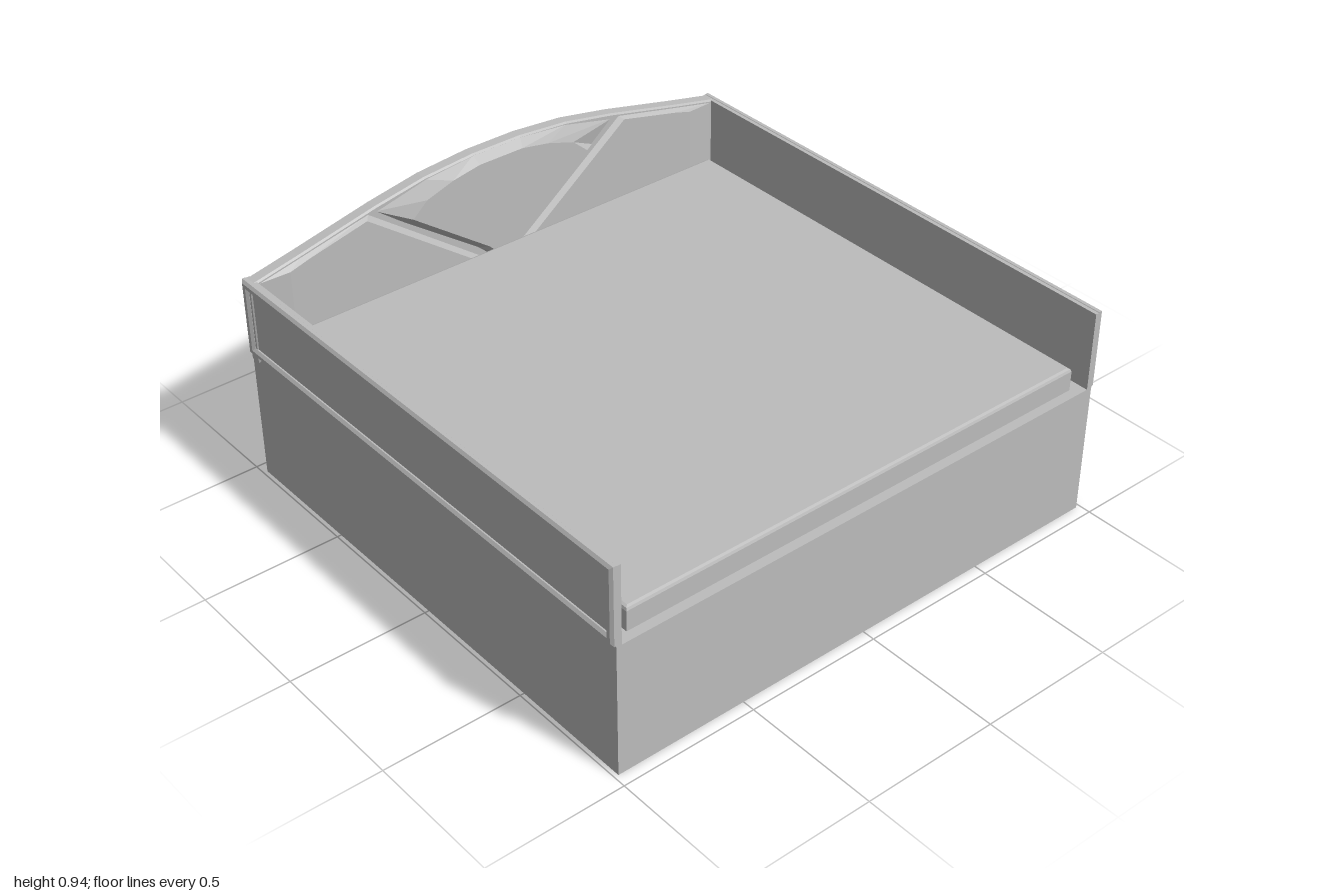
import * as THREE from 'three';

const grey = new THREE.MeshStandardMaterial({ color: 0xbcbcbc });
grey.name = 'plain grey';

function add(group, name, geometry, x = 0, y = 0, z = 0) {
  const mesh = new THREE.Mesh(geometry, grey);
  mesh.name = name;
  mesh.position.set(x, y, z);
  group.add(mesh);
  return mesh;
}

function rectangle(Type, x0, x1, y0, y1) {
  return new Type([[x0, y0], [x1, y0], [x1, y1], [x0, y1]].map(p => new THREE.Vector2(...p)));
}

// Raised pad facing +x, lofted between two rings of [z, y] points
function pad(outer, inner, x0, x1) {
  const area = THREE.ShapeUtils.area(outer.map(p => new THREE.Vector2(...p)));
  if (area > 0) {
    outer = [...outer].reverse();
    inner = [...inner].reverse();
  }
  const n = outer.length, pos = [];
  const a = outer.map(([z, y]) => [x0, y, z]);
  const b = inner.map(([z, y]) => [x1, y, z]);
  const centre = [0, 1, 2].map(k => b.reduce((sum, p) => sum + p[k], 0) / n);
  for (let i = 0; i < n; i++) {
    const j = (i + 1) % n;
    pos.push(...a[i], ...a[j], ...b[j], ...a[i], ...b[j], ...b[i], ...centre, ...b[i], ...b[j]);
  }
  const g = new THREE.BufferGeometry();
  g.setAttribute('position', new THREE.Float32BufferAttribute(pos, 3));
  g.computeVertexNormals();
  return g;
}

export function createModel() {
  const bed = new THREE.Group();
  bed.name = 'bed';

  // Solid base and mattress
  add(bed, 'base', new THREE.BoxGeometry(1.91, 0.49, 1.97), 0, 0.245, 0);
  const bevel = 0.012;
  const mattress = new THREE.ExtrudeGeometry(
    rectangle(THREE.Shape, -0.865 + bevel, 0.92 - bevel, -0.92 + bevel, 0.92 - bevel),
    { depth: 0.085 - bevel, bevelSize: bevel, bevelThickness: bevel, bevelSegments: 2 });
  mattress.rotateX(-Math.PI / 2);
  add(bed, 'mattress', mattress, 0, 0.49, 0);

  // Side rails, each with a recessed outer panel in a bevelled frame
  for (const side of [1, -1]) {
    const rail = new THREE.Group();
    rail.name = side > 0 ? 'frontRail' : 'backRail';
    add(rail, 'railPanel', new THREE.BoxGeometry(1.91, 0.29, 0.022), 0, 0.635, 0.976);
    const shape = rectangle(THREE.Shape, -0.945, 0.945, 0.505, 0.772);
    shape.holes.push(rectangle(THREE.Path, -0.93, 0.93, 0.517, 0.758));
    add(rail, 'railFrame', new THREE.ExtrudeGeometry(shape,
      { depth: 0.012, bevelSize: 0.01, bevelThickness: 0.008, bevelSegments: 1 }), 0, 0, 0.98);
    if (side < 0) rail.rotation.y = Math.PI;
    bed.add(rail);
  }

  // Arched headboard
  const arch = [[0.985, 0.772], [0.8, 0.812], [0.5, 0.88], [0.3, 0.917], [0.1, 0.934]];
  const outline = [[-0.985, 0.48], [0.985, 0.48], ...arch,
    ...arch.map(([z, y]) => [-z, y]).reverse()];
  const board = new THREE.ExtrudeGeometry(
    new THREE.Shape(outline.map(p => new THREE.Vector2(...p))),
    { depth: 0.038, bevelSize: 0.006, bevelThickness: 0.006, bevelOffset: 0, bevelSegments: 1 });
  board.rotateY(Math.PI / 2);
  add(bed, 'headboard', board, -0.949, 0, 0);

  // Central fan-shaped pad between the diagonal seams
  const fanOuter = [[0.01, 0.49], [0.1, 0.572], [0.41, 0.797], [0.5, 0.868], [0.3, 0.915], [0.1, 0.935]];
  const fanInner = [[0.005, 0.51], [0.065, 0.572], [0.37, 0.797], [0.31, 0.85], [0.2, 0.885], [0.09, 0.905]];
  const mirrored = ring => [...ring, ...ring.map(([z, y]) => [-z, y]).reverse()];
  add(bed, 'fanPad', pad(mirrored(fanOuter), mirrored(fanInner), -0.906, -0.882));

  // Wing pads sloping back towards the rails
  for (const side of [1, -1]) {
    const place = ring => ring.map(([z, y]) => [z * side, y]);
    add(bed, side > 0 ? 'frontWingPad' : 'backWingPad', pad(
      place([[0.965, 0.49], [0.965, 0.772], [0.8, 0.808], [0.53, 0.868], [0.03, 0.49]]),
      place([[0.85, 0.49], [0.85, 0.78], [0.78, 0.8], [0.545, 0.855], [0.06, 0.49]]),
      -0.906, -0.89));
  }
  return bed;
}
